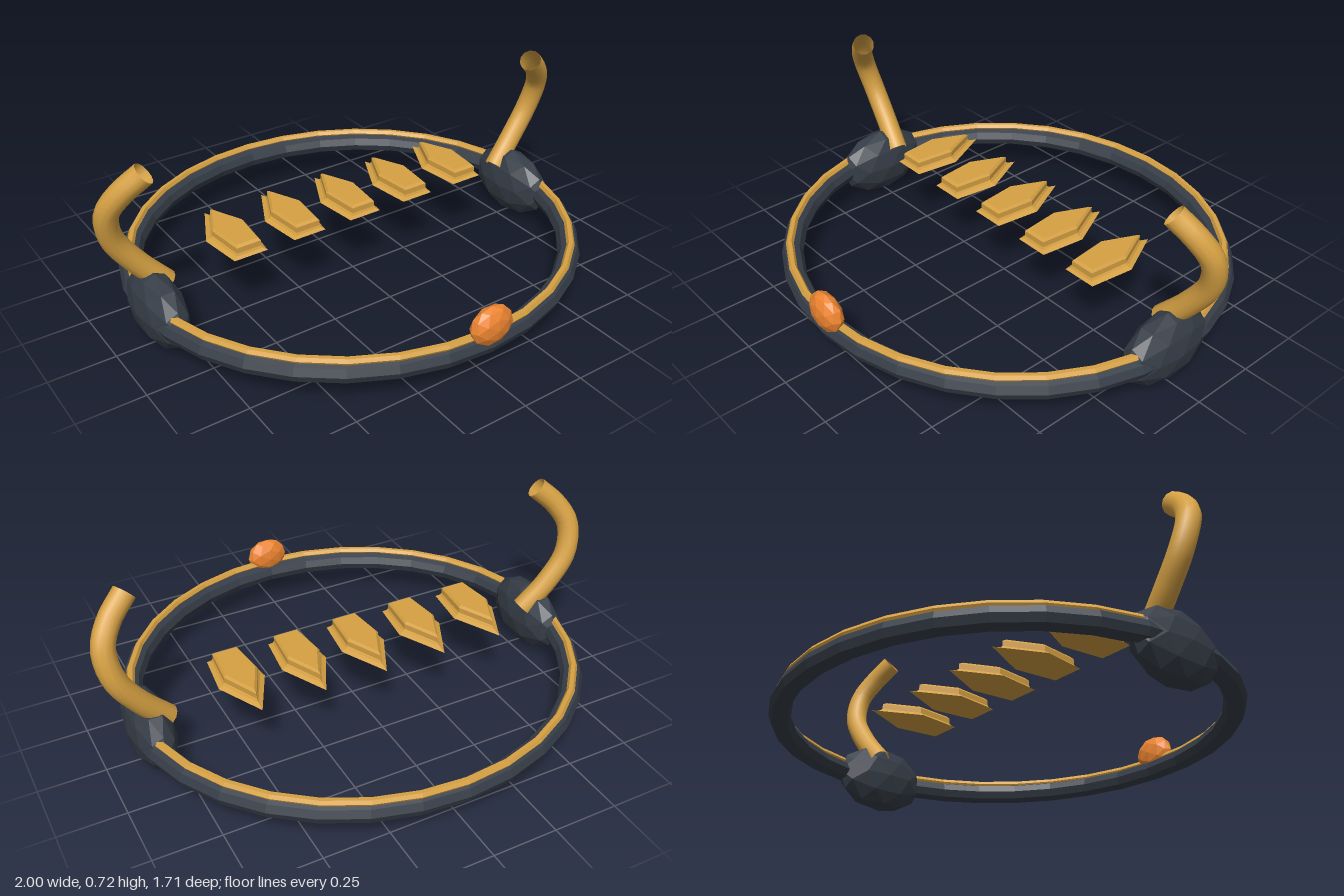
import * as THREE from 'three';

const mat = (color, opts = {}) => new THREE.MeshStandardMaterial({ color, ...opts });

// Pentagonal blade-shaped plate lofted through [y, tipZ, halfShoulder, shoulderZ, halfBase, baseZ]
function plateGeometry() {
  const levels = [
    [0.278, -0.273, 0.089, -0.09, 0.067, 0.084],
    [0.287, -0.238, 0.072, -0.087, 0.054, 0.074],
    [0.296, -0.226, 0.065, -0.086, 0.049, 0.070],
    [0.317, -0.226, 0.065, -0.086, 0.049, 0.070],
    [0.326, -0.208, 0.057, -0.083, 0.042, 0.060],
  ];
  const rings = levels.map(([y, tip, sw, sz, bw, bz]) =>
    [[0, y, tip], [-sw, y, sz], [-bw, y, bz], [bw, y, bz], [sw, y, sz]]);
  const pos = [];
  const tri = (a, b, c) => pos.push(...a, ...b, ...c);
  for (let l = 0; l < rings.length - 1; l++) {
    for (let i = 0; i < 5; i++) {
      const j = (i + 1) % 5, lo = rings[l], hi = rings[l + 1];
      tri(lo[i], lo[j], hi[j]);
      tri(lo[i], hi[j], hi[i]);
    }
  }
  const bottom = rings[0], top = rings[rings.length - 1];
  for (let i = 1; i < 4; i++) {
    tri(top[0], top[i], top[i + 1]);
    tri(bottom[0], bottom[i + 1], bottom[i]);
  }
  const g = new THREE.BufferGeometry();
  g.setAttribute('position', new THREE.Float32BufferAttribute(pos, 3));
  g.computeVertexNormals();
  return g;
}

// Horizontal ring, slightly wider in x than in z
const ovalRing = (rx, rz, tube, sides) =>
  new THREE.TorusGeometry(rz, tube, sides, 32).rotateX(Math.PI / 2).scale(rx / rz, 1, 1);

export function createModel() {
  const model = new THREE.Group();
  const dark = mat(0x363d47, { flatShading: true });
  const gold = mat(0xd6a143, { flatShading: true });
  const hornGold = mat(0xd6a143, { side: THREE.DoubleSide });
  const orange = mat(0xec8430, { flatShading: true });

  const add = (name, geometry, material, x = 0, y = 0, z = 0) => {
    const m = new THREE.Mesh(geometry, material);
    m.name = name;
    m.position.set(x, y, z);
    model.add(m);
    return m;
  };

  // Main band and the thin trim lying on top of it
  add('band', ovalRing(0.858, 0.805, 0.04, 8), dark, 0, 0.139, -0.008);
  add('trim', ovalRing(0.857, 0.814, 0.015, 6), gold, 0, 0.183, -0.008);

  // Side bosses with curved open-ended horns
  for (const [side, s] of [['left', 1], ['right', -1]]) {
    const boss = add(side + 'Boss', new THREE.IcosahedronGeometry(1, 1), dark, s * 0.825, 0.138, -0.006);
    boss.scale.set(0.083, 0.137, 0.197);

    const path = new THREE.CatmullRomCurve3([
      [0.765, 0.2, -0.05], [0.86, 0.305, -0.067], [0.938, 0.425, -0.069],
      [0.955, 0.54, -0.042], [0.915, 0.62, -0.005], [0.84, 0.692, 0.033],
    ].map(([x, y, z]) => new THREE.Vector3(s * x, y, z)));
    add(side + 'Horn', new THREE.TubeGeometry(path, 20, 0.043, 12), hornGold);
  }

  // Front gem
  add('gem', new THREE.IcosahedronGeometry(1, 1), orange, 0, 0.213, 0.81).scale.set(0.088, 0.076, 0.044);

  // Row of blade-shaped plates across the middle
  const plate = plateGeometry();
  for (let i = -2; i <= 2; i++) add('plate' + (i + 3), plate, gold, i * 0.2465, 0, 0);

  return model;
}
